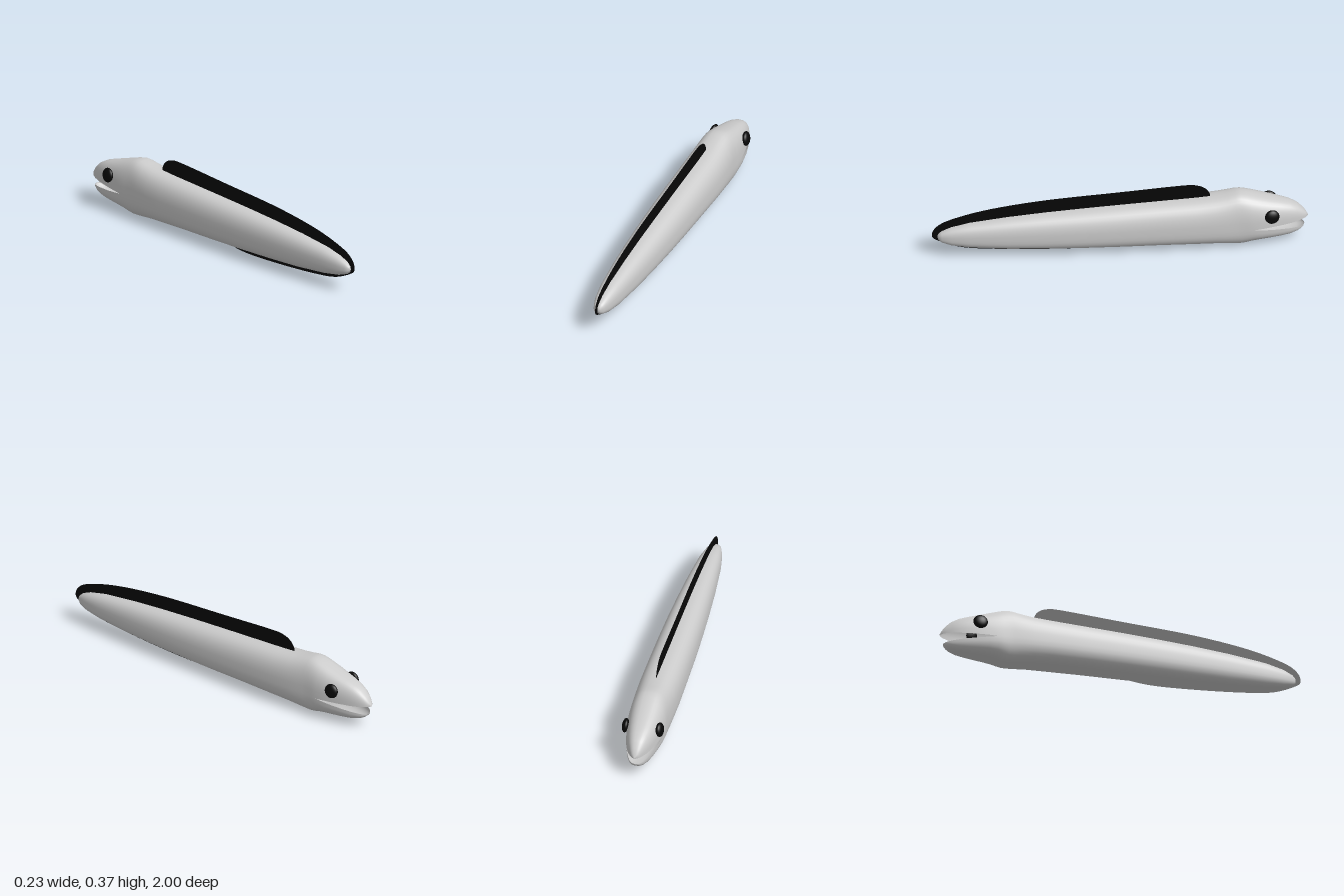
import * as THREE from 'three';
import { mergeGeometries, mergeVertices } from 'three/addons/utils/BufferGeometryUtils.js';

const SIDES = 20; // segments in each half ring
const ROUND = 2 / 2.6; // squareness of the cross-section

// Trunk stations, tail to head: z, lip line y, top y, bottom y, half width
const trunk = [
  [0.972, 0.13, 0.13, 0.13, 0],
  [0.967, 0.13, 0.148, 0.114, 0.018],
  [0.95, 0.13, 0.164, 0.1, 0.03],
  [0.9, 0.13, 0.186, 0.083, 0.046],
  [0.8, 0.13, 0.209, 0.067, 0.062],
  [0.6, 0.13, 0.232, 0.05, 0.079],
  [0.4, 0.13, 0.248, 0.041, 0.091],
  [0.2, 0.13, 0.26, 0.035, 0.1],
  [0, 0.13, 0.27, 0.031, 0.106],
  [-0.2, 0.13, 0.279, 0.028, 0.109],
  [-0.4, 0.13, 0.288, 0.022, 0.111],
  [-0.5, 0.13, 0.295, 0.018, 0.109],
  [-0.57, 0.13, 0.306, 0.011, 0.106],
  [-0.61, 0.13, 0.314, 0.007, 0.103],
  [-0.64, 0.128, 0.315, 0.006, 0.102],
  [-0.67, 0.126, 0.308, 0.012, 0.102],
  [-0.7, 0.125, 0.299, 0.02, 0.102],
];
// Jaw stations continuing from the mouth corner: z, lip y, outer y, half width
const upperJaw = [
  [-0.75, 0.128, 0.283, 0.097], [-0.8, 0.13, 0.267, 0.089],
  [-0.85, 0.132, 0.252, 0.079], [-0.9, 0.133, 0.235, 0.066],
  [-0.94, 0.134, 0.213, 0.051], [-0.97, 0.135, 0.184, 0.034],
  [-0.987, 0.135, 0.161, 0.021], [-1, 0.135, 0.137, 0],
];
const lowerJaw = [
  [-0.75, 0.118, 0.027, 0.097], [-0.8, 0.111, 0.031, 0.088],
  [-0.85, 0.105, 0.035, 0.077], [-0.9, 0.098, 0.041, 0.063],
  [-0.94, 0.092, 0.052, 0.046], [-0.96, 0.089, 0.063, 0.034],
  [-0.973, 0.087, 0.074, 0.02], [-0.98, 0.086, 0.085, 0],
];

// Skin of half rings through stations [z, lip, outer y, half width]
function halfSkin(stations, startAngle) {
  const pos = [], index = [], row = SIDES + 1;
  const pow = (v) => Math.sign(v) * Math.abs(v) ** ROUND;
  stations.forEach(([z, lip, edge, w], i) => {
    for (let j = 0; j <= SIDES; j++) {
      const a = startAngle + (Math.PI * j) / SIDES;
      const end = j === 0 || j === SIDES;
      const s = end ? 0 : Math.abs(Math.sin(a)) ** ROUND;
      pos.push(w * pow(Math.cos(a)), lip + (edge - lip) * s, z);
      if (i && j < SIDES) {
        const c = i * row + j, p = c - row;
        index.push(p, c, p + 1, c, c + 1, p + 1);
      }
    }
  });
  const g = new THREE.BufferGeometry();
  g.setAttribute('position', new THREE.Float32BufferAttribute(pos, 3));
  g.setIndex(index);
  return g;
}

export function createModel() {
  const grey = new THREE.MeshStandardMaterial({ color: 0xcccccc, side: THREE.DoubleSide });
  grey.name = 'pale grey skin';
  const black = new THREE.MeshStandardMaterial({ color: 0x080808, side: THREE.DoubleSide });
  black.name = 'black';

  const model = new THREE.Group();
  model.name = 'eel';
  const add = (name, geometry, material) => {
    const mesh = new THREE.Mesh(geometry, material);
    mesh.name = name;
    model.add(mesh);
    return mesh;
  };

  // Body: back and belly skins joined along the side, parting at the open mouth
  const back = trunk.map(([z, lip, top, , w]) => [z, lip, top, w]).concat(upperJaw);
  const belly = trunk.map(([z, lip, , low, w]) => [z, lip, low, w]).concat(lowerJaw);
  const skin = mergeVertices(mergeGeometries([halfSkin(back, 0), halfSkin(belly, Math.PI)]), 1e-4);
  skin.computeVertexNormals();
  add('body', skin, grey);

  // Continuous thin fin along the back, round the tail and under the belly
  const fin = new THREE.Shape();
  fin.moveTo(-0.475, 0.28);
  fin.splineThru([
    [-0.478, 0.305], [-0.455, 0.343], [-0.41, 0.366], [-0.33, 0.372], [0, 0.352], [0.4, 0.327],
    [0.7, 0.288], [0.9, 0.236], [0.98, 0.19], [1, 0.135], [0.96, 0.1], [0.85, 0.055],
    [0.7, 0.032], [0.45, 0.012], [0.2, 0.002], [0.06, 0.012], [-0.05, 0.033],
  ].map(([z, y]) => new THREE.Vector2(z, y)));
  fin.lineTo(0.2, 0.07);
  fin.lineTo(0.9, 0.12);
  fin.lineTo(0.9, 0.15);
  fin.lineTo(0, 0.24);
  add('fin', new THREE.ShapeGeometry(fin, 60).rotateY(-Math.PI / 2), black);

  // Eyes
  for (const side of [1, -1]) {
    const eye = add(side > 0 ? 'leftEye' : 'rightEye', new THREE.SphereGeometry(1, 24, 16), black);
    eye.scale.set(0.019, 0.039, 0.039);
    eye.position.set(side * 0.093, 0.2, -0.8);
    eye.rotation.set(0, side * 0.12, side * 0.15);
  }
  return model;
}
